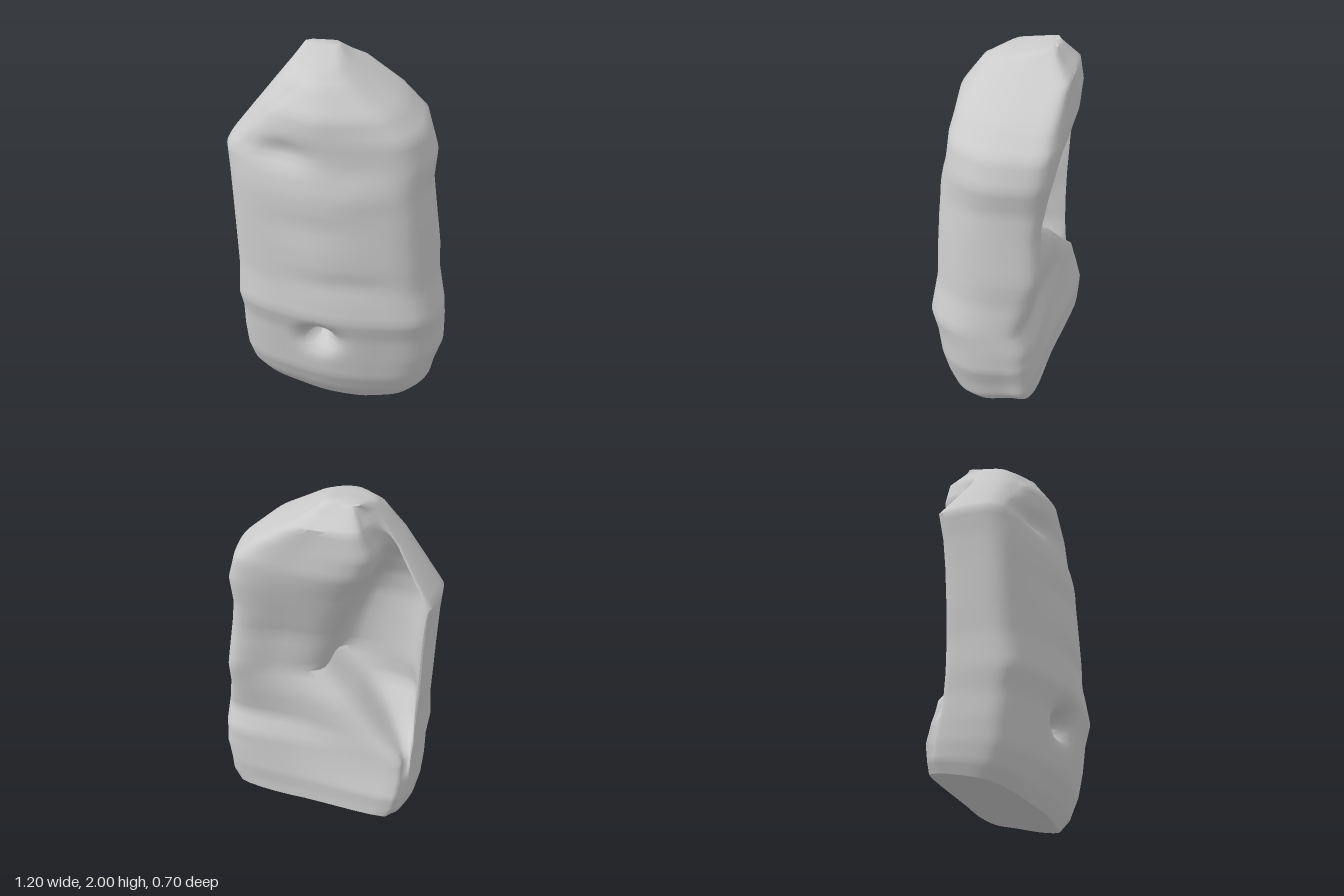
import * as THREE from 'three';
import { toCreasedNormals } from 'three/addons/utils/BufferGeometryUtils.js';

const { lerp, clamp } = THREE.MathUtils;

// Level: y, xMin, xMax, zFront, zBack, then the hollow: lip x, lip z, z of the side wall's edge, depth 0..1
const LEVELS = [
  [0.00, -0.48, 0.48, 0.17, -0.28, -0.43, -0.28, -0.20, 0],
  [0.08, -0.51, 0.53, 0.22, -0.28, -0.46, -0.28, -0.22, 0],
  [0.20, -0.53, 0.55, 0.27, -0.29, -0.48, -0.28, -0.20, 0],
  [0.35, -0.54, 0.59, 0.29, -0.29, -0.49, -0.25, -0.18, 0],
  [0.50, -0.54, 0.59, 0.31, -0.29, -0.48, -0.22, -0.17, 0.1],
  [0.62, -0.55, 0.59, 0.34, -0.24, -0.35, -0.21, -0.16, 0.6],
  [0.80, -0.55, 0.55, 0.32, -0.29, -0.18, -0.19, -0.16, 1],
  [0.95, -0.56, 0.54, 0.32, -0.33, 0.00, -0.15, -0.16, 1],
  [1.20, -0.57, 0.51, 0.31, -0.31, -0.08, -0.17, -0.17, 1],
  [1.35, -0.58, 0.49, 0.30, -0.32, -0.14, -0.20, -0.18, 1],
  [1.50, -0.60, 0.50, 0.27, -0.34, -0.20, -0.23, -0.20, 0.9],
  [1.65, -0.49, 0.45, 0.26, -0.35, -0.27, -0.28, -0.15, 0.7],
  [1.77, -0.40, 0.32, 0.24, -0.34, -0.30, -0.29, -0.11, 0.4],
  [1.90, -0.30, 0.11, 0.16, -0.33, -0.25, -0.29, -0.10, 0],
  [1.95, -0.26, 0.03, 0.08, -0.27, -0.22, -0.25, -0.12, 0],
  [2.00, -0.22, -0.04, -0.14, -0.22, -0.19, -0.21, -0.19, 0],
];

// Front half of the outline in unit form: from the middle to +x, and from -x back to the middle
const FRONT_LEFT = [[0, 1], [0.42, 0.93], [0.83, 0.7], [1, 0.15]];
const FRONT_RIGHT = [[-1, 0], [-0.95, 0.42], [-0.75, 0.7], [-0.4, 0.88]];

// Dents (negative) and bumps on the front: x, y, radius x, radius y, depth
const DENTS = [
  [-0.05, 0.46, 0.085, 0.07, -0.15],
  [-0.26, 1.55, 0.16, 0.06, -0.045],
  [0.1, 0.85, 0.25, 0.05, -0.012],
  [-0.1, 1.17, 0.25, 0.06, -0.012],
  [0.2, 1.4, 0.15, 0.1, 0.012],
  [-0.15, 1.75, 0.2, 0.12, 0.02],
];

const AROUND = 80, STEPS = 4, FLOOR_Z = 0.1;

function outlineAt([y, x0, x1, zf, zb, lipX, lipZ, edgeZ, depth]) {
  const cx = (x0 + x1) / 2, hx = (x1 - x0) / 2, cz = (zf + zb) / 2, hz = (zf - zb) / 2;
  const place = ([s, t]) => [cx + s * hx, cz + t * hz];
  // Back corner is square at the base and rounder higher up
  const corner = place([lerp(0.95, 0.84, clamp(y / 0.4, 0, 1)), -0.96]);
  const bulge = clamp((y - 1.2) / 0.4, 0, 1);
  const edgeX = x0 + 0.02 * hx;
  // Hollow floor, flush with the back where depth is 0
  const floorPoint = (flat, deep) => [
    lerp(lerp(lipX, edgeX, flat), lerp(lipX, edgeX, deep), depth),
    lerp(lerp(lipZ, edgeZ, flat), FLOOR_Z, depth),
  ];
  return [
    ...FRONT_LEFT.map(place),
    place([0.97, -0.5]),
    corner,
    [lerp(corner[0], lipX, 0.45), lerp(zb, lipZ, lerp(0.45, 0.1, bulge))],
    [lipX, lipZ],
    floorPoint(0.33, 0.05),
    floorPoint(0.67, 0.75),
    [edgeX, edgeZ],
    ...FRONT_RIGHT.map(place),
  ];
}

function ringAt(level) {
  const y = level[0];
  const points = outlineAt(level).map(([x, z]) => new THREE.Vector3(x, 0, z));
  const curve = new THREE.CatmullRomCurve3(points, true, 'centripetal');
  const ring = [];
  for (let j = 0; j < AROUND; j++) {
    const { x, z } = curve.getPoint(j / AROUND);
    let dent = 0;
    if (z > 0.15) {
      for (const [dx, dy, rx, ry, d] of DENTS) {
        dent += d * Math.exp(-(((x - dx) / rx) ** 2) - ((y - dy) / ry) ** 2);
      }
    }
    // The underside rises towards the back and the two sides
    const low = Math.max(0, 1 - y / 0.45);
    const lift = low * (0.1 * Math.max(0, 0.16 - z) / 0.42 + 0.06 * Math.abs(x - 0.18));
    ring.push([x, y + lift, z + dent]);
  }
  return ring;
}

function bodyGeometry() {
  const rings = [];
  for (let i = 0; i < LEVELS.length - 1; i++) {
    for (let k = 0; k < STEPS; k++) {
      rings.push(ringAt(LEVELS[i].map((v, n) => lerp(v, LEVELS[i + 1][n], k / STEPS))));
    }
  }
  rings.push(ringAt(LEVELS[LEVELS.length - 1]));

  const positions = rings.flat(2), index = [];
  for (let i = 0; i < rings.length - 1; i++) {
    for (let j = 0; j < AROUND; j++) {
      const a = i * AROUND + j, b = i * AROUND + (j + 1) % AROUND;
      index.push(a, b, b + AROUND, a, b + AROUND, a + AROUND);
    }
  }
  // Close the underside and the crown with fans
  for (const [row, up] of [[0, false], [rings.length - 1, true]]) {
    const centre = positions.length / 3;
    for (let n = 0; n < 3; n++) positions.push(rings[row].reduce((sum, p) => sum + p[n], 0) / AROUND);
    for (let j = 0; j < AROUND; j++) {
      const a = row * AROUND + j, b = row * AROUND + (j + 1) % AROUND;
      index.push(centre, ...(up ? [a, b] : [b, a]));
    }
  }
  const geometry = new THREE.BufferGeometry();
  geometry.setAttribute('position', new THREE.Float32BufferAttribute(positions, 3));
  geometry.setIndex(index);
  return toCreasedNormals(geometry, 0.8);
}

export function createModel() {
  const group = new THREE.Group();
  group.name = 'hollowStone';
  const material = new THREE.MeshStandardMaterial({ color: 0xcccccc, side: THREE.DoubleSide });
  const body = new THREE.Mesh(bodyGeometry(), material);
  body.name = 'stoneBody';
  group.add(body);
  return group;
}
